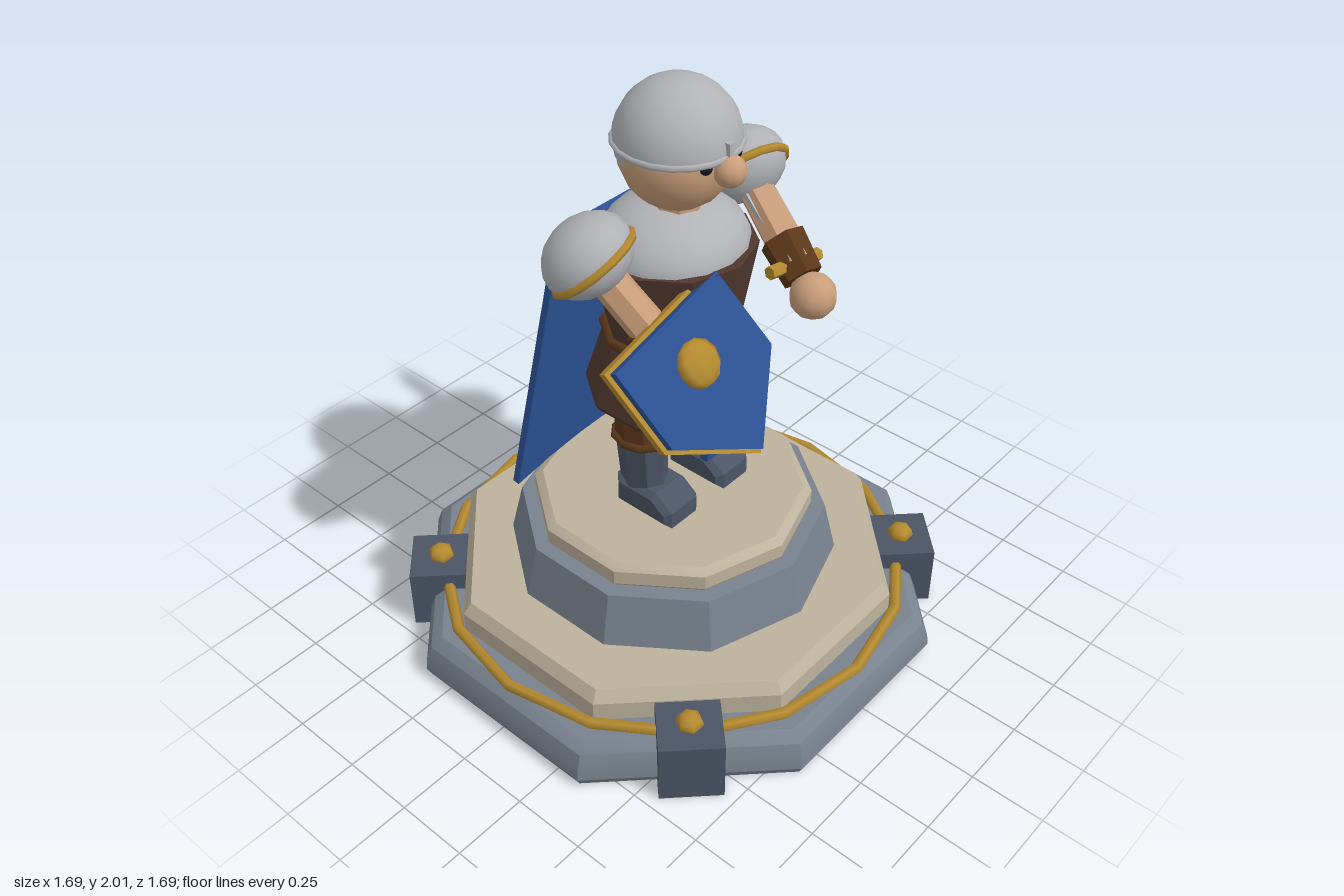
import * as THREE from 'three';
import { toCreasedNormals } from 'three/addons/utils/BufferGeometryUtils.js';

const colour = (name, hex) => {
  const m = new THREE.MeshStandardMaterial({ color: hex, side: THREE.DoubleSide });
  m.name = name;
  return m;
};
const V = (x, y, z) => new THREE.Vector3(x, y, z);
const UP = V(0, 1, 0);
const TAU = Math.PI * 2;

export function createModel() {
  const model = new THREE.Group();
  model.name = 'guardStatue';
  const steel = colour('steel', 0xb0b2b6), gold = colour('gold', 0xb48a30);
  const blue = colour('blue cloth', 0x2c5294), tunicBrown = colour('tunic brown', 0x50382f);
  const leather = colour('leather', 0x5a3719), skin = colour('skin', 0xc99e7a);
  const cream = colour('cream stone', 0xbdb29c), stone = colour('grey stone', 0x78828d);
  const slate = colour('slate', 0x4c5565), black = colour('eye black', 0x18181c);

  const add = (name, geo, mat, pos = V(0, 0, 0), crease = 0, parent = model) => {
    const mesh = new THREE.Mesh(crease ? toCreasedNormals(geo, crease) : geo, mat);
    mesh.name = name;
    mesh.position.copy(pos);
    parent.add(mesh);
    return mesh;
  };
  // revolved profile of [radius, y] pairs
  const turned = (name, mat, pts, sides, phase = 0, crease = 0.5) =>
    add(name, new THREE.LatheGeometry(pts.map(p => new THREE.Vector2(...p)), sides, phase, TAU), mat, V(0, 0, 0), crease);
  // tapered limb from a to b
  const limb = (name, mat, a, b, ra, rb, sides = 8) => {
    const m = add(name, new THREE.CylinderGeometry(rb, ra, a.distanceTo(b), sides), mat, a.clone().lerp(b, 0.5), 0.4);
    m.quaternion.setFromUnitVectors(UP, b.clone().sub(a).normalize());
    return m;
  };
  const ball = (name, mat, pos, r, w = 12, h = 8) => add(name, new THREE.SphereGeometry(r, w, h), mat, pos);
  const ring = (name, mat, y, r, tube, sides, x = 0, z = 0) => {
    const g = new THREE.TorusGeometry(r, tube, 6, sides).rotateX(Math.PI / 2);
    return add(name, g, mat, V(x, y, z));
  };

  // stepped pedestal
  const E = Math.PI / 8;
  turned('plinthBase', stone, [[0, 0], [0.9, 0], [0.915, 0.03], [0.91, 0.07], [0.89, 0.12], [0.85, 0.15], [0, 0.15]], 8, E);
  ring('plinthTrim', gold, 0.16, 0.79, 0.02, 16);
  turned('plinthStep', cream, [[0, 0.13], [0.768, 0.13], [0.768, 0.22], [0.74, 0.26], [0, 0.26]], 8, E);
  turned('drum', stone, [[0, 0.25], [0.56, 0.25], [0.515, 0.44], [0, 0.44]], 10);
  turned('standingDisc', cream, [[0, 0.43], [0.455, 0.43], [0.468, 0.45], [0.468, 0.5], [0.44, 0.52], [0, 0.52]], 10);
  for (const sx of [-1, 1]) for (const sz of [-1, 1]) {
    const p = V(0.565 * sx, 0.105, 0.565 * sz);
    add('cornerPost', new THREE.BoxGeometry(0.205, 0.22, 0.205), slate, p).rotation.y = Math.PI / 4;
    ball('postStud', gold, p.clone().setY(0.222), 0.045, 6, 6).scale.y = 0.8;
  }

  // boots, legs and knee cuffs
  for (const s of [-1, 1]) {
    const foot = new THREE.Shape([[-0.05, 0.54], [0.145, 0.54], [0.145, 0.57], [0.09, 0.61], [-0.05, 0.61]]
      .map(p => new THREE.Vector2(...p)));
    const g = new THREE.ExtrudeGeometry(foot, { depth: 0.12, bevelSize: 0.02, bevelThickness: 0.02, bevelSegments: 1 });
    g.translate(0, 0, -0.06).rotateY(-Math.PI / 2);
    add('boot', g, slate, V(0.13 * s, 0, 0));
    limb('shin', slate, V(0.135 * s, 0.58, 0), V(0.15 * s, 0.82, 0), 0.07, 0.078).scale.z = 1.15;
    limb('kneeCuff', leather, V(0.152 * s, 0.79, 0), V(0.155 * s, 0.98, 0), 0.078, 0.08).scale.z = 1.1;
    ring('kneeStrap', leather, 0.807, 0.078, 0.015, 10, 0.152 * s).scale.z = 1.12;
  }

  // tunic, belt and tabard
  turned('skirt', tunicBrown, [[0, 0.92], [0.27, 0.92], [0.28, 0.94], [0.21, 1.165], [0, 1.165]], 10);
  turned('torso', tunicBrown, [[0, 1.15], [0.205, 1.15], [0.262, 1.47], [0, 1.47]], 10);
  ring('belt', leather, 1.155, 0.215, 0.017, 10).rotation.y = Math.PI / 10;
  add('buckle', new THREE.BoxGeometry(0.1, 0.02, 0.02), gold, V(0, 1.155, 0.222));
  add('tabard', new THREE.BoxGeometry(0.2, 0.32, 0.028), blue, V(0, 0.94, 0.219));
  const mail = new THREE.SphereGeometry(0.25, 16, 6, 0, TAU, 0, Math.PI / 2).scale(1, 0.64, 0.94);
  add('mailCollar', mail, steel, V(0, 1.455, 0));

  // cape, hanging away from the back
  const cape = new THREE.Shape();
  cape.moveTo(-0.3, 0.945);
  cape.lineTo(-0.432, 0);
  cape.quadraticCurveTo(0, 0.11, 0.432, 0);
  cape.lineTo(0.3, 0.945);
  const capeGeo = new THREE.ExtrudeGeometry(cape, { depth: 0.025, bevelEnabled: false, curveSegments: 6 });
  add('cape', capeGeo, blue, V(0, 0.612, -0.312)).rotation.x = 0.125;

  // head and helmet
  limb('neck', skin, V(0, 1.56, 0.02), V(0, 1.68, 0.02), 0.08, 0.08);
  ball('head', skin, V(0, 1.775, 0.02), 0.18, 16, 12);
  ball('nose', skin, V(0, 1.772, 0.215), 0.05, 10, 8);
  for (const s of [-1, 1]) ball('eye', black, V(0.065 * s, 1.795, 0.18), 0.021, 8, 6);
  add('helmet', new THREE.SphereGeometry(0.192, 20, 8, 0, TAU, 0, Math.PI / 2), steel, V(0, 1.808, 0.02));
  ring('helmetRim', steel, 1.812, 0.189, 0.011, 20, 0, 0.02);
  add('neckGuard', new THREE.CylinderGeometry(0.19, 0.183, 0.045, 12, 1, true, Math.PI - 1.35, 2.7), steel, V(0, 1.79, 0.02));
  add('nasalBar', new THREE.BoxGeometry(0.02, 0.06, 0.025), steel, V(0, 1.83, 0.208));

  // arms with pauldrons and bracers
  const arm = (side, shoulder, hand) => {
    const d = hand.clone().sub(shoulder).normalize();
    const at = t => shoulder.clone().lerp(hand, t);
    limb(side + 'UpperArm', skin, at(0), at(0.75), 0.056, 0.062, 7);
    limb(side + 'Bracer', leather, at(0.55), at(0.86), 0.075, 0.066, 6);
    ball(side + 'Hand', skin, hand, 0.075, 10, 8);
    const pauldron = new THREE.Group();
    pauldron.name = side + 'Pauldron';
    pauldron.position.copy(shoulder).addScaledVector(d, -0.02);
    pauldron.quaternion.setFromUnitVectors(UP, d);
    model.add(pauldron);
    const shell = new THREE.SphereGeometry(0.145, 14, 10).scale(1, 0.8, 1);
    add('pauldronShell', shell, steel, V(0, 0, 0), 0, pauldron);
    const trim = new THREE.TorusGeometry(0.139, 0.014, 6, 14).rotateX(Math.PI / 2);
    add('pauldronTrim', trim, gold, V(0, 0.028, 0), 0, pauldron);
  };
  const leftHand = V(0.25, 1.285, 0.35);
  arm('left', V(0.347, 1.55, -0.005), leftHand);
  arm('right', V(-0.345, 1.55, 0), V(-0.22, 1.2, 0.26));

  // sword laid back along the left arm
  const tip = V(0.37, 1.775, -0.275);
  const sword = new THREE.Group();
  sword.name = 'sword';
  sword.position.copy(leftHand);
  const along = tip.clone().sub(leftHand);
  const len = along.length();
  along.normalize();
  const across = V(1, 0, 0).addScaledVector(along, -along.x).normalize();
  sword.quaternion.setFromRotationMatrix(new THREE.Matrix4().makeBasis(across, along, across.clone().cross(along)));
  model.add(sword);
  const bladeShape = new THREE.Shape([[-0.035, 0.12], [0.035, 0.12], [0.035, len - 0.09], [0, len], [-0.035, len - 0.09]]
    .map(p => new THREE.Vector2(...p)));
  add('blade', new THREE.ExtrudeGeometry(bladeShape, { depth: 0.016, bevelEnabled: false }), steel, V(0, 0, -0.008), 0, sword);
  const guard = new THREE.CylinderGeometry(0.022, 0.022, 0.215, 6).rotateZ(Math.PI / 2);
  add('crossguard', guard, gold, V(0, 0.115, 0), 0.4, sword);

  // shield: gold backing, blue face, round boss
  const shield = new THREE.Group();
  shield.name = 'shield';
  const u = V(0.958, 0.287, 0).normalize();
  const n = V(-0.16, 0.53, 0.83).addScaledVector(u, -V(-0.16, 0.53, 0.83).dot(u)).normalize();
  shield.quaternion.setFromRotationMatrix(new THREE.Matrix4().makeBasis(u, n.clone().cross(u), n));
  shield.position.set(-0.285, 1.41, 0.2);
  model.add(shield);
  const plate = (name, mat, k, z, depth) => {
    const s = new THREE.Shape([[-0.24, 0.22], [-0.245, -0.08], [0, -0.3], [0.245, -0.08], [0.24, 0.22]]
      .map(([x, y]) => new THREE.Vector2(x * k, y * k)));
    add(name, new THREE.ExtrudeGeometry(s, { depth, bevelEnabled: false }), mat, V(0, -0.22, z), 0, shield);
  };
  plate('shieldBack', gold, 1, -0.03, 0.028);
  plate('shieldFace', blue, 0.94, -0.002, 0.03);
  const boss = new THREE.SphereGeometry(0.075, 8, 6).scale(1, 1, 0.45);
  add('shieldBoss', boss, gold, V(0, -0.17, 0.03), 0, shield);

  return model;
}
